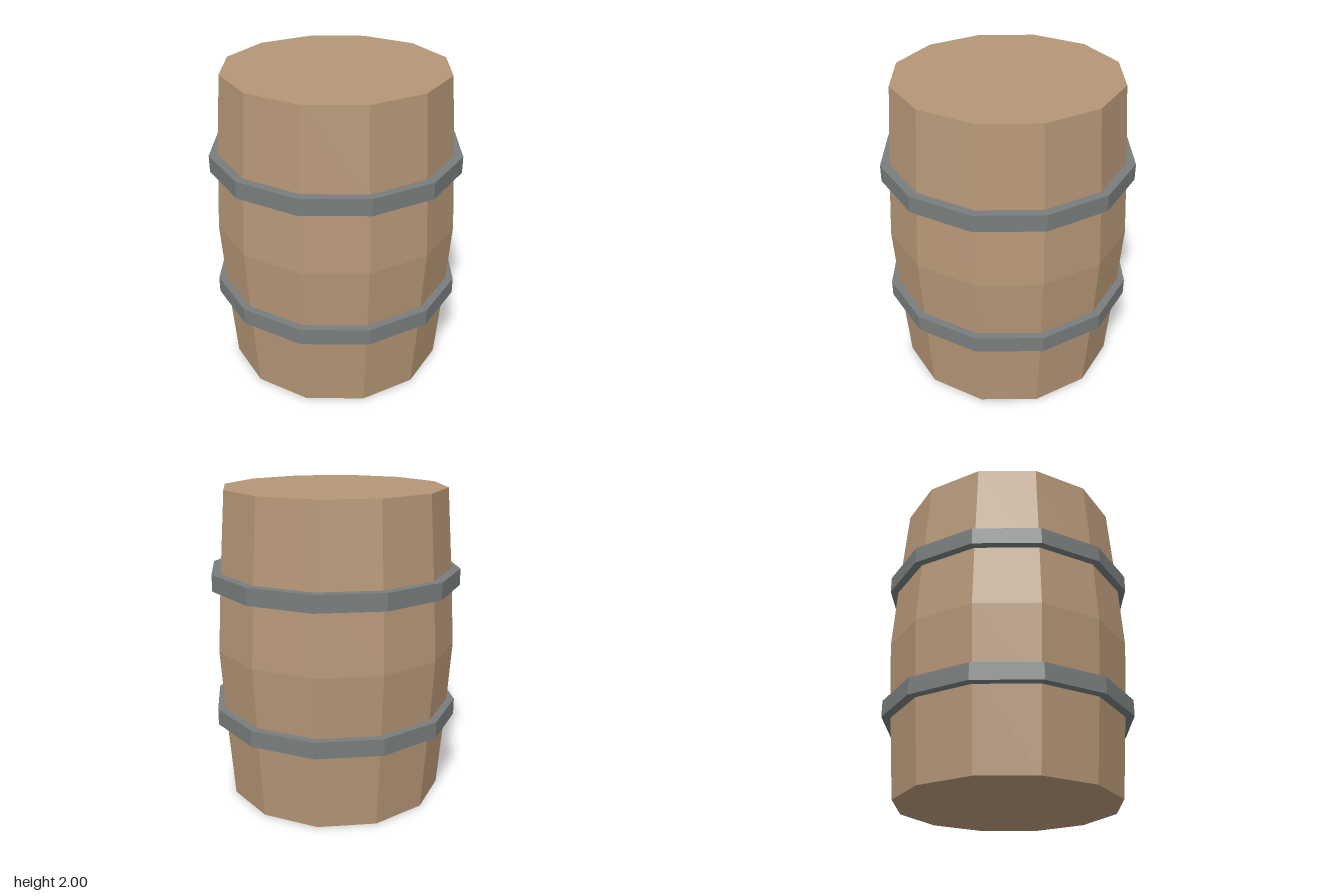
import * as THREE from 'three';

const SIDES = 12;

// Faceted solid of revolution from [radius, height] points
function facetedLathe(profile, material, name) {
  const points = profile.map(([r, y]) => new THREE.Vector2(r, y));
  const geometry = new THREE.LatheGeometry(points, SIDES).toNonIndexed();
  geometry.computeVertexNormals();
  const mesh = new THREE.Mesh(geometry, material);
  mesh.name = name;
  return mesh;
}

export function createModel() {
  const wood = new THREE.MeshStandardMaterial({ color: 0xb59676, flatShading: true });
  wood.name = 'wood';
  const iron = new THREE.MeshStandardMaterial({ color: 0x787d7d, flatShading: true });
  iron.name = 'iron';

  const barrel = new THREE.Group();
  barrel.name = 'barrel';

  // Bulging body with flat lids
  barrel.add(facetedLathe(
    [[0, 0], [0.707, 0], [0.75, 0.56], [0.777, 1], [0.75, 1.44], [0.707, 2], [0, 2]],
    wood, 'body'));

  // Two iron hoops
  const inner = 0.73, outer = 0.803, half = 0.053;
  for (const [name, y] of [['lowerHoop', 0.562], ['upperHoop', 1.444]]) {
    const hoop = facetedLathe(
      [[inner, -half], [outer, -half], [outer, half], [inner, half], [inner, -half]],
      iron, name);
    hoop.position.y = y;
    barrel.add(hoop);
  }
  return barrel;
}
